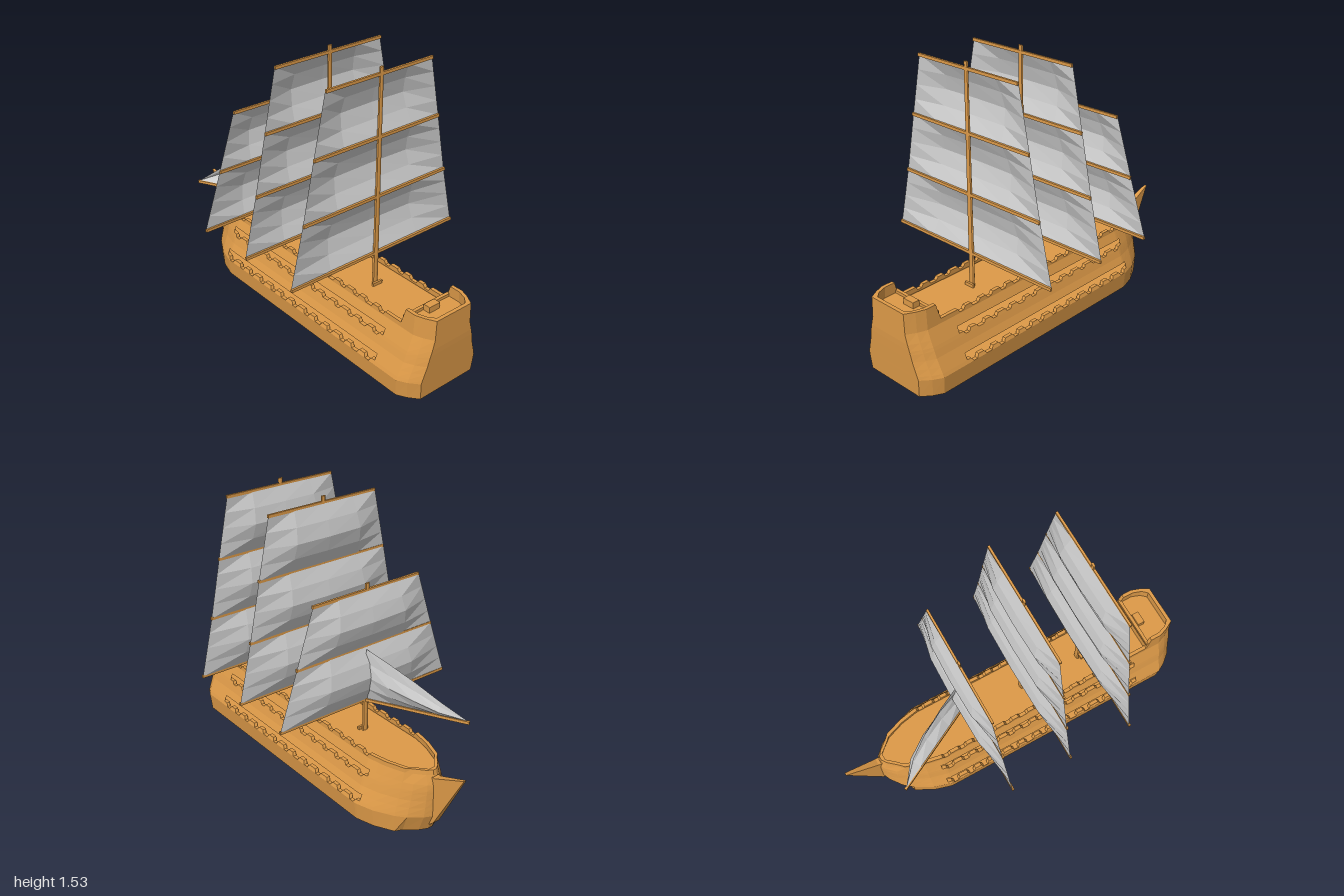
import * as THREE from 'three';

const wood = new THREE.MeshStandardMaterial({ color: 0xdd9a48, flatShading: true, side: THREE.DoubleSide });
const cloth = new THREE.MeshStandardMaterial({ color: 0xcccccc, flatShading: true, side: THREE.DoubleSide });

// Piecewise linear lookup in a list of [input, output] pairs
function lerpTable(table, t) {
  if (t <= table[0][0]) return table[0][1];
  for (let i = 1; i < table.length; i++) {
    const [a, va] = table[i - 1], [b, vb] = table[i];
    if (t <= b) return va + (vb - va) * (t - a) / (b - a);
  }
  return table[table.length - 1][1];
}

// Surface through rows of points, all rows having the same length
function skin(name, rows, material, closed = false) {
  const n = rows[0].length, index = [];
  for (let i = 0; i < rows.length - 1; i++) {
    for (let j = 0; j < (closed ? n : n - 1); j++) {
      const k = (j + 1) % n, a = i * n + j, b = i * n + k;
      index.push(a, b, b + n, a, b + n, a + n);
    }
  }
  const geometry = new THREE.BufferGeometry();
  geometry.setAttribute('position', new THREE.Float32BufferAttribute(rows.flat(2), 3));
  geometry.setIndex(index);
  geometry.computeVertexNormals();
  const mesh = new THREE.Mesh(geometry, material);
  mesh.name = name;
  return mesh;
}

function box(name, w, h, d, x, y, z) {
  const mesh = new THREE.Mesh(new THREE.BoxGeometry(w, h, d), wood);
  mesh.position.set(x, y, z);
  mesh.name = name;
  return mesh;
}

// Hull shape: half width by height, and its share along the length
const WIDTH = [[0, 0.15], [0.03, 0.245], [0.13, 0.255], [0.22, 0.215], [0.27, 0.2], [0.36, 0.165], [0.47, 0.16]];
const PLAN = [[-0.82, 0.06], [-0.8, 0.24], [-0.75, 0.5], [-0.7, 0.66], [-0.6, 0.88], [-0.5, 1], [0.9, 1], [0.95, 0.89], [1, 0.72]];
const SLOT = [-0.52, 0.73];
const STEP = 0.0125;
const XS = [-0.82, -0.8, -0.75, -0.7, -0.65, -0.6, -0.56];
for (let i = 0; i <= 100; i++) XS.push(SLOT[0] + i * STEP);
XS.push(0.815, 0.84, 0.9, 0.95, 1);

function hullPoint(x, y, side, inset) {
  const w = Math.max(lerpTable(WIDTH, y) * lerpTable(PLAN, x) - inset, 0.002);
  let px = Math.min(Math.max(x, -0.82 + inset), 1 - inset);
  if (x > 0.89) px -= lerpTable([[0, 0.02], [0.3, 0]], y);
  if (x < -0.7) px += lerpTable([[0.03, 0.035], [0.1, 0], [0.3, 0], [0.38, 0.025]], y);
  return [px, y, side * w];
}

// Closed outline round the hull; the height may vary along x
function ring(height, inset = 0, xs = XS) {
  const y = typeof height === 'function' ? height : () => height;
  const left = xs.map(x => hullPoint(x, y(x), 1, inset));
  const right = xs.map(x => hullPoint(x, y(x), -1, inset)).reverse();
  return [...left, ...right];
}

// Rail edge with a notch for every gun port
const notched = (base, depth) => x => {
  if (x < SLOT[0] + 0.01 || x > SLOT[1] - 0.01) return base;
  const t = ((x - SLOT[0]) / 0.0962) % 1;
  return t > 0.3 && t < 0.72 ? base - depth : base;
};

function deck(name, y, xs) {
  return skin(name, [1, -1].map(s => xs.map(x => hullPoint(x, y, s, 0.01))), wood);
}

function createHull() {
  const hull = new THREE.Group();
  hull.name = 'hull';
  const T = 0.02;
  const lowTop = notched(0.147, 0.017), midTop = notched(0.276, 0.015), railNotch = notched(0.385, 0.018);
  const railTop = x => x < 0.82 ? railNotch(x) : 0.47;

  // Keel bottom
  const base = ring(0).map(([x, , z]) => [x * 0.8, 0, z]);
  hull.add(skin('hullBottom', [base, ring(0.03)], wood, true));
  const half = XS.length;
  hull.add(skin('keelPlate', [base.slice(0, half), base.slice(half).reverse()], wood));

  // Three thick walls with open gun galleries between them
  hull.add(skin('lowerWall', [ring(0.03), ring(0.13 - 0.002), ring(lowTop), ring(lowTop, T), ring(0.12, T)], wood, true));
  hull.add(skin('middleWall', [ring(0.18), ring(0.22), ring(0.258), ring(midTop), ring(midTop, T), ring(0.22, T), ring(0.18, T), ring(0.18)], wood, true));
  hull.add(skin('upperWall', [ring(0.31), ring(0.36), ring(railTop), ring(railTop, T), ring(0.36, T), ring(0.31, T), ring(0.31)], wood, true));

  // Solid bow and stern closing the galleries
  const bowXs = XS.filter(x => x <= SLOT[0] + 1e-6), sternXs = XS.filter(x => x >= SLOT[1] - 1e-6);
  for (const [y0, y1] of [[0.147, 0.18], [0.276, 0.31]]) {
    const bow = y => [...ring(y, 0, bowXs).slice(bowXs.length), ...ring(y, 0, bowXs).slice(0, bowXs.length)];
    hull.add(skin('bowPanel', [bow(y0), bow(y1)], wood));
    hull.add(skin('sternPanel', [ring(y0, 0, sternXs), ring(y1, 0, sternXs)], wood));
  }

  // Decks
  hull.add(deck('lowerDeck', 0.122, XS), deck('middleDeck', 0.25, XS), deck('mainDeck', 0.352, XS));
  hull.add(deck('poopDeck', 0.41, XS.filter(x => x > 0.81)));
  hull.add(box('poopFront', 0.018, 0.075, 0.31, 0.826, 0.388, 0));
  hull.add(box('poopChest', 0.04, 0.035, 0.07, 0.855, 0.425, 0));

  // Beak under the bow, thinning towards its tip
  const beakSide = [[-1, 0.43], [-0.975, 0.42], [-0.82, 0.352], [-0.78, 0.35], [-0.78, 0.05], [-0.825, 0.09]];
  const shape = new THREE.Shape(beakSide.map(p => new THREE.Vector2(...p)));
  const geometry = new THREE.ExtrudeGeometry(shape, { depth: 2, bevelEnabled: false }).translate(0, 0, -1);
  const pos = geometry.attributes.position;
  for (let i = 0; i < pos.count; i++) {
    pos.setZ(i, pos.getZ(i) * lerpTable([[-1, 0.008], [-0.82, 0.02]], pos.getX(i)));
  }
  geometry.computeVertexNormals();
  const beak = new THREE.Mesh(geometry, wood);
  beak.name = 'beak';
  hull.add(beak);
  return hull;
}

// Square sail between two yards, billowing towards the bow
function squareSail(y0, w0, y1, w1) {
  const down = [0, 0.65, 1, 0.65, 0];
  const across = [[-1, 0], [-0.54, 0.9], [0, 1], [0.54, 0.9], [1, 0]];
  const rows = down.map((d, i) => {
    const t = i / (down.length - 1), w = w0 + (w1 - w0) * t;
    return across.map(([u, b]) => [-0.004 - 0.056 * d * b, y0 + (y1 - y0) * t, u * w]);
  });
  return skin('squareSail', rows, cloth);
}

function createMast(x, top, yards) {
  const mast = new THREE.Group();
  mast.name = 'mast';
  mast.position.x = x;
  const pole = new THREE.CylinderGeometry(0.014, 0.021, top - 0.1, 8);
  pole.scale(0.45, 1, 1);
  const poleMesh = new THREE.Mesh(pole, wood);
  poleMesh.name = 'mastPole';
  poleMesh.position.y = (top + 0.1) / 2;
  mast.add(poleMesh, box('mastFoot', 0.012, 0.02, 0.06, 0.018, 0.36, 0));
  yards.forEach(([y, w], i) => {
    mast.add(box('yard', 0.012, 0.016, w * 2, 0, y, 0));
    if (i) mast.add(squareSail(yards[i - 1][0], yards[i - 1][1], y, w));
  });
  return mast;
}

// Triangular sail swung out over the bow on its boom
function createForeSail() {
  const group = new THREE.Group();
  group.name = 'foreSail';
  const tack = new THREE.Vector3(-0.75, 0.54, 0.255);
  const heel = new THREE.Vector3(-0.275, 0.54, 0.005);
  const peak = new THREE.Vector3(-0.275, 0.838, 0);
  const n = 4, rows = [];
  for (let i = 0; i <= n; i++) {
    const s = i / n, row = [];
    for (let j = 0; j <= n; j++) {
      const t = j / n;
      const foot = tack.clone().lerp(heel, s), edge = tack.clone().lerp(peak, s);
      const p = foot.lerp(edge, t);
      const belly = Math.sin(Math.PI * Math.min(t, 0.8)) * Math.sin(Math.PI * (0.15 + 0.7 * s)) * (s > 0 ? 1 : 0);
      row.push([p.x - 0.035 * belly, p.y + 0.03 * t * Math.sin(Math.PI * s), p.z - 0.06 * belly]);
    }
    rows.push(row);
  }
  group.add(skin('triangularSail', rows, cloth));
  const boom = box('boom', tack.distanceTo(heel) + 0.02, 0.016, 0.014, (tack.x + heel.x) / 2, 0.532, (tack.z + heel.z) / 2);
  boom.rotation.y = Math.atan2(tack.z - heel.z, heel.x - tack.x);
  group.add(boom);
  return group;
}

export function createModel() {
  const ship = new THREE.Group();
  ship.name = 'sailingShip';
  ship.add(createHull());
  const tall = [[0.535, 0.54], [0.858, 0.465], [1.178, 0.4], [1.5, 0.333]];
  ship.add(createMast(0.453, 1.535, tall), createMast(0.087, 1.535, tall));
  ship.add(createMast(-0.265, 1.187, [[0.535, 0.54], [0.845, 0.435], [1.15, 0.335]]));
  ship.add(createForeSail());
  return ship;
}
